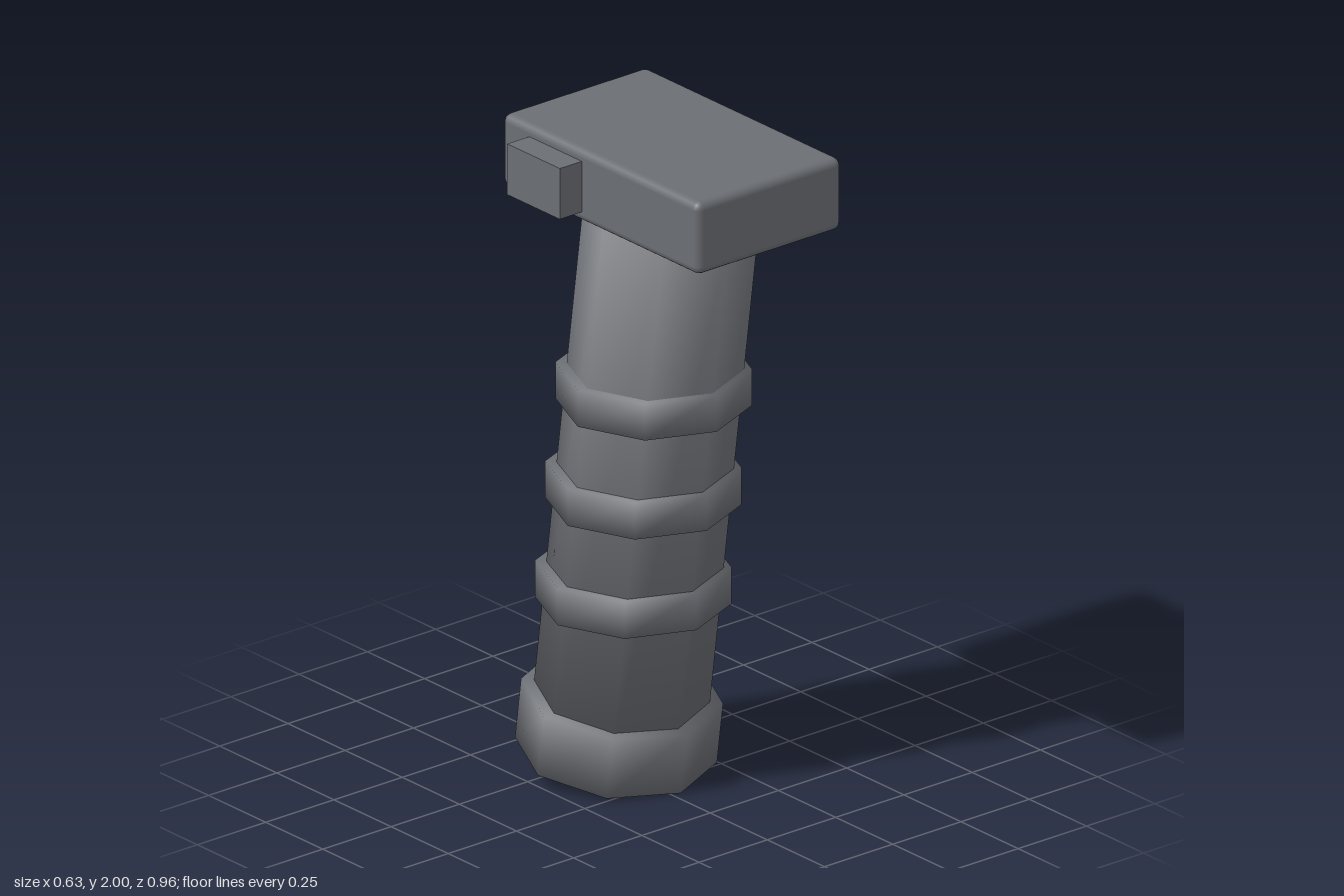
import * as THREE from 'three';
import { RoundedBoxGeometry } from 'three/addons/geometries/RoundedBoxGeometry.js';

const CENTER_X = 0.0275;
const TILT = THREE.MathUtils.degToRad(8);

// Eight-sided cylinder whose normals blend softly around the rims
function softOctagon(radius, height) {
  const geo = new THREE.CylinderGeometry(radius, radius, height, 8);
  const pos = geo.attributes.position;
  const n = new THREE.Vector3();
  for (let i = 0; i < pos.count; i++) {
    n.set(pos.getX(i) / radius, Math.sign(pos.getY(i)) * 0.8, pos.getZ(i) / radius).normalize();
    geo.attributes.normal.setXYZ(i, n.x, n.y, n.z);
  }
  return geo;
}

export function createModel() {
  const model = new THREE.Group();
  model.name = 'foregrip';
  const gunmetal = new THREE.MeshStandardMaterial({ color: 0x6b6e73 });
  gunmetal.name = 'dark grey';

  const add = (parent, name, geo, x, y, z) => {
    const mesh = new THREE.Mesh(geo, gunmetal);
    mesh.name = name;
    mesh.position.set(x, y, z);
    parent.add(mesh);
    return mesh;
  };

  // Mount block with softened edges, and the clamp lug on its right side
  add(model, 'mountBlock', new RoundedBoxGeometry(0.53, 0.22, 0.86, 2, 0.024), CENTER_X, 1.89, 0.05);
  add(model, 'clampLug', new THREE.BoxGeometry(0.1, 0.155, 0.23), -0.268, 1.89, -0.143);

  // Tilted handle: shaft and end cap share one axis
  const handle = new THREE.Group();
  handle.name = 'handle';
  handle.position.set(CENTER_X, 0.043, -0.195);
  handle.rotation.x = TILT;
  model.add(handle);
  add(handle, 'shaft', softOctagon(0.249, 1.6), 0, 0.95, 0);
  add(handle, 'endCap', softOctagon(0.286, 0.19), 0, 0.095, 0);

  // Level finger rings stepped along the tilted axis
  for (const y of [1.215, 0.898, 0.58]) {
    const z = -0.195 + (y - 0.043) * Math.tan(TILT);
    add(model, 'fingerRing', softOctagon(0.277, 0.112), CENTER_X, y, z);
  }
  return model;
}
